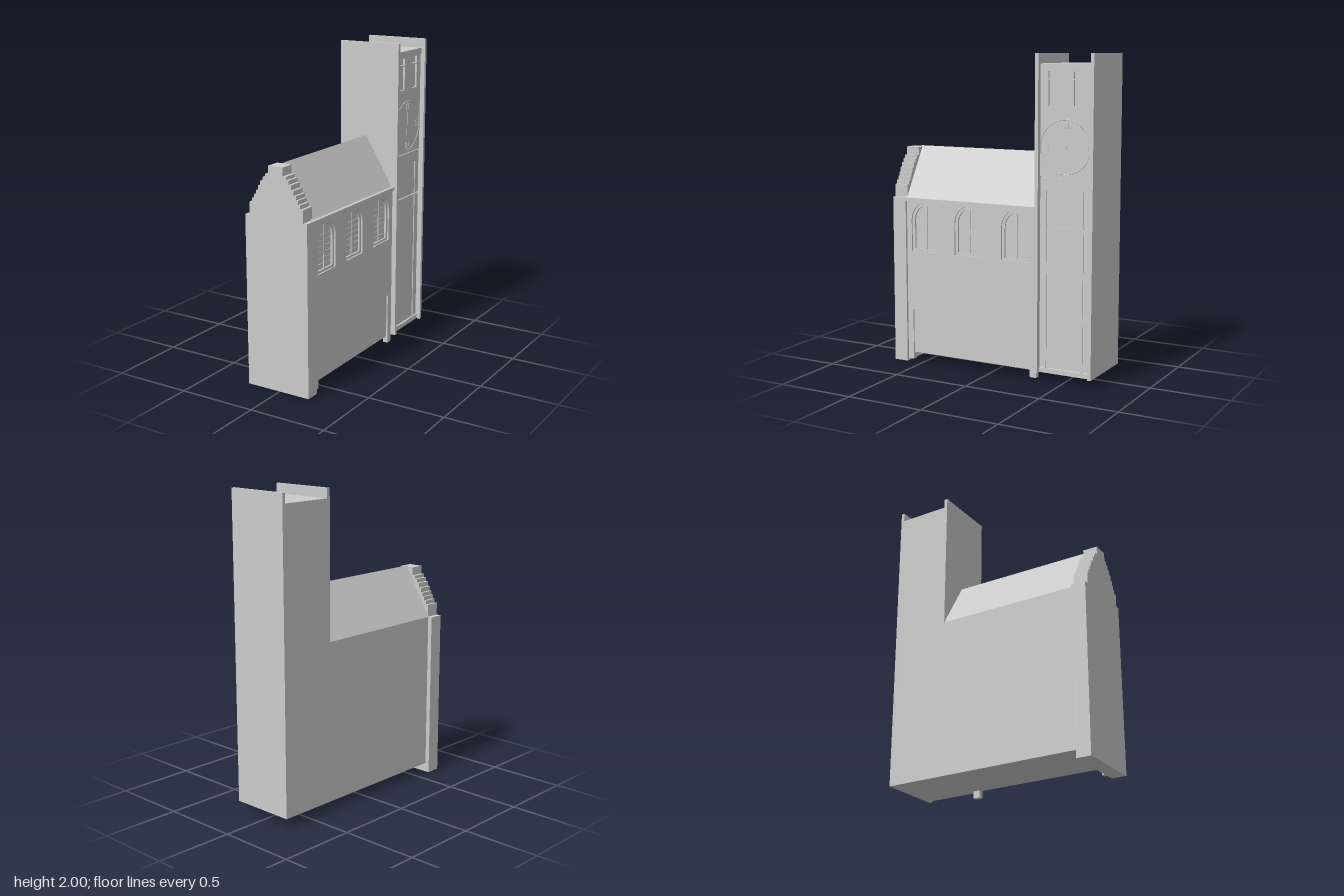
import * as THREE from 'three';

const grey = new THREE.MeshStandardMaterial({ color: 0xcccccc, flatShading: true });

export function createModel() {
  const root = new THREE.Group();

  const add = (name, geometry, parent = root) => {
    const mesh = new THREE.Mesh(geometry, grey);
    mesh.name = name;
    parent.add(mesh);
    return mesh;
  };

  // Box given by its limits on each axis
  const box = (name, x0, x1, y0, y1, z0, z1, parent) =>
    add(name, new THREE.BoxGeometry(x1 - x0, y1 - y0, z1 - z0), parent)
      .position.set((x0 + x1) / 2, (y0 + y1) / 2, (z0 + z1) / 2);

  // Outline drawn on the right-hand elevation (u = -z, v = y), extruded from x0 to x1
  const sidePlate = (name, shape, x0, x1, parent) => {
    const g = new THREE.ExtrudeGeometry(shape, { depth: x1 - x0, bevelEnabled: false, curveSegments: 16 });
    return add(name, g.rotateY(Math.PI / 2).translate(x0, 0, 0), parent);
  };

  // Outline drawn on the front elevation, extruded from z0 to z1
  const frontPlate = (name, points, z0, z1) => {
    const shape = new THREE.Shape(points.map(p => new THREE.Vector2(...p)));
    const g = new THREE.ExtrudeGeometry(shape, { depth: z1 - z0, bevelEnabled: false });
    return add(name, g.translate(0, 0, z0), root);
  };

  const arch = (path, u, bottom, top, r) => {
    path.moveTo(u - r, bottom);
    path.lineTo(u + r, bottom);
    path.lineTo(u + r, top - r * 1.2);
    path.absellipse(u, top - r * 1.2, r, r * 1.2, 0, Math.PI, false);
    path.lineTo(u - r, bottom);
    return path;
  };

  const rect = (u0, u1, v0, v1, path = new THREE.Path()) =>
    path.moveTo(u0, v0).lineTo(u1, v0).lineTo(u1, v1).lineTo(u0, v1).lineTo(u0, v0);

  // Hall with its pitched roof
  frontPlate('hall', [[-0.2, 0.06], [0.17, 0.06], [0.17, 1.08], [-0.2, 1.08]], -0.335, 0.62);
  frontPlate('roof', [[-0.2, 1.08], [0.185, 1.08], [-0.008, 1.4]], -0.335, 0.62);
  box('eavesCornice', 0.15, 0.207, 1.06, 1.08, -0.33, 0.62);

  // Right wall plate: open plinth bay and three arched windows
  const windows = [0.475, 0.155, -0.18];
  const wall = new THREE.Shape();
  [[-0.61, 0.015], [-0.57, 0.015], [-0.57, 0.35], [0.28, 0.35], [0.28, 0.015], [0.325, 0.015], [0.325, 1.06], [-0.61, 1.06]]
    .forEach(([u, v], i) => (i ? wall.lineTo(u, v) : wall.moveTo(u, v)));
  windows.forEach(z => wall.holes.push(arch(new THREE.Path(), -z, 0.735, 1.05, 0.1)));
  sidePlate('rightWall', wall, 0.16, 0.192);
  box('plinthPanel', 0.15, 0.182, 0.06, 0.35, -0.28, 0.57);

  windows.forEach(z => {
    const win = new THREE.Group();
    win.name = 'archedWindow';
    root.add(win);
    // Inner frame with glazing bars
    const frame = arch(new THREE.Shape(), -z, 0.735, 1.05, 0.1);
    frame.holes.push(arch(new THREE.Path(), -z, 0.75, 1.03, 0.08));
    sidePlate('windowFrame', frame, 0.165, 0.182, win);
    box('mullion', 0.165, 0.176, 0.74, 1.03, z - 0.006, z + 0.006, win);
    for (let i = 0; i < 6; i++) {
      const y = 0.78 + i * 0.036;
      box('glazingBar', 0.165, 0.173, y, y + 0.004, z - 0.075, z + 0.075, win);
    }
  });

  // Front wall with stepped gable
  box('frontWall', -0.228, 0.207, 0, 1.08, 0.61, 0.705);
  box('gableBase', -0.195, 0.18, 1.08, 1.16, 0.612, 0.705);
  const steps = [[0.168, 1.16], [0.153, 1.185], [0.14, 1.21], [0.125, 1.235], [0.108, 1.265],
    [0.09, 1.295], [0.073, 1.32], [0.05, 1.34]];
  steps.forEach(([half, y], i) => {
    const top = i + 1 < steps.length ? steps[i + 1][1] : 1.392;
    box('gableStep', -0.008 - half, -0.008 + half, y, top, 0.612, 0.705);
  });

  // Tower: body between two taller slabs
  const tower = new THREE.Group();
  tower.name = 'tower';
  root.add(tower);
  box('towerBody', -0.2, 0.18, 0.06, 1.94, -0.69, -0.34, tower);
  box('towerFrontSlab', -0.2, 0.224, 0.06, 2, -0.347, -0.325, tower);
  box('towerBackSlab', -0.2, 0.224, 0.06, 2, -0.705, -0.683, tower);

  // Tower face in panels
  const belfry = rect(0.345, 0.685, 1.27, 1.9, new THREE.Shape());
  belfry.holes.push(rect(0.4, 0.468, 1.69, 1.895), rect(0.565, 0.632, 1.69, 1.895));
  sidePlate('belfryPanel', belfry, 0.175, 0.193, tower);
  box('towerCornice', 0.17, 0.198, 1.9, 1.94, -0.685, -0.345, tower);
  box('stringCourse', 0.17, 0.197, 1.845, 1.852, -0.685, -0.345, tower);
  box('middlePanel', 0.17, 0.19, 0.975, 1.264, -0.685, -0.345, tower);
  box('lowerPanel', 0.17, 0.19, 0.095, 0.968, -0.685, -0.345, tower);
  box('towerSill', 0.17, 0.198, 0.06, 0.09, -0.685, -0.345, tower);
  for (const z of [-0.388, -0.63])
    box('verticalRib', 0.17, 0.196, 0.09, 1.19, z - 0.005, z + 0.005, tower);

  // Clock: thin ring, hour marks and hands
  const clock = new THREE.Group();
  clock.name = 'clock';
  clock.position.set(0.193, 1.45, -0.512);
  tower.add(clock);
  const ring = add('clockRing', new THREE.TorusGeometry(0.162, 0.003, 6, 48), clock);
  ring.rotation.y = Math.PI / 2;
  for (let i = 0; i < 4; i++) {
    const a = i * Math.PI / 2;
    for (const s of [-0.016, 0, 0.016]) {
      const mark = add('hourMark', new THREE.BoxGeometry(0.006, 0.04, 0.006).translate(0, 0.128, s), clock);
      mark.rotation.x = a;
    }
  }
  add('minuteHand', new THREE.BoxGeometry(0.006, 0.1, 0.01).translate(0, 0.045, 0), clock);
  add('hourHand', new THREE.BoxGeometry(0.006, 0.07, 0.012).translate(0, -0.03, 0), clock);

  return root;
}
